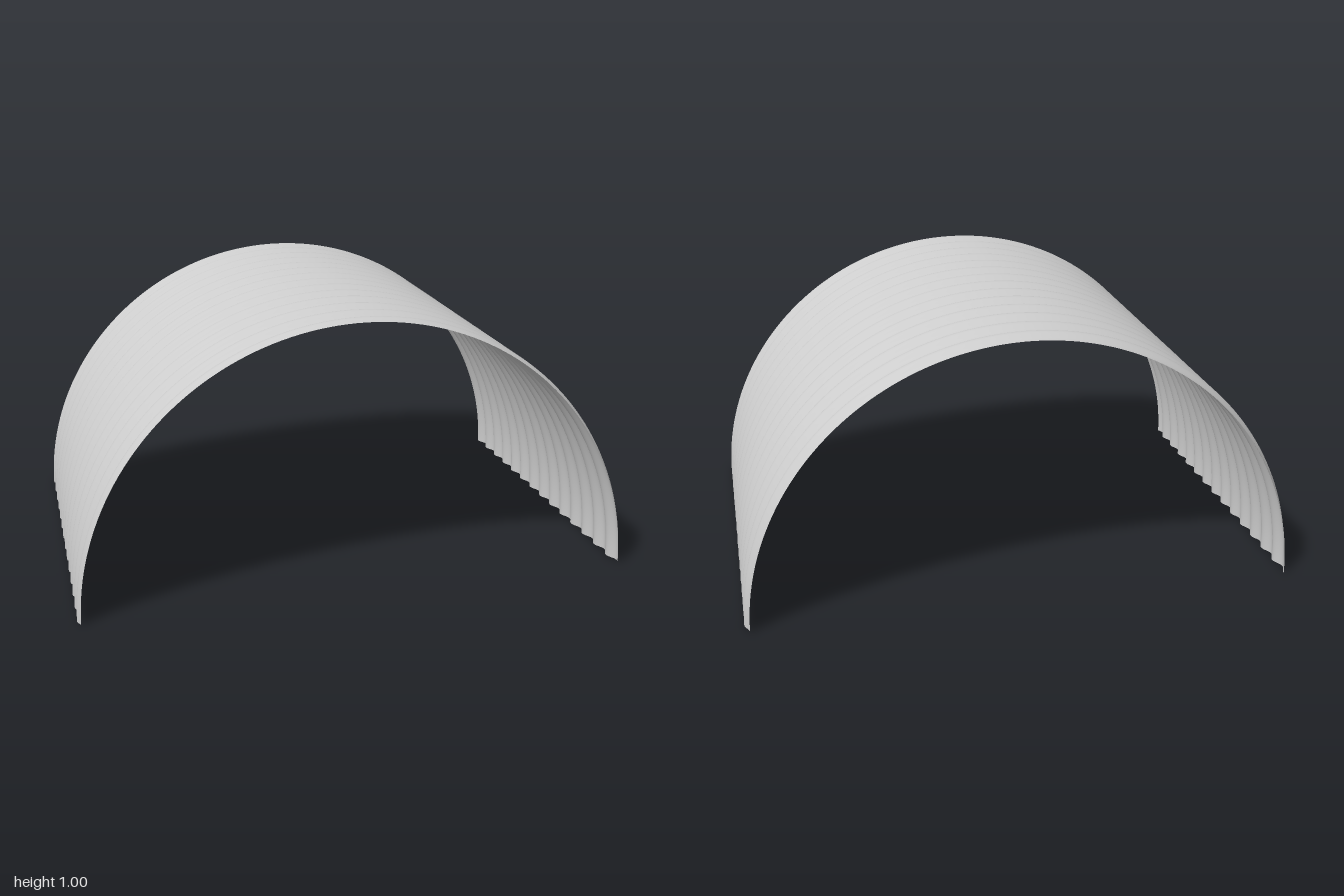
import * as THREE from 'three';

// Half-round arch of thin corrugated sheet, ridges running around the arch
export function createModel() {
  const group = new THREE.Group();
  group.name = 'corrugatedArch';

  const halfLength = 0.708, meanRadius = 0.991, waveHeight = 0.009;
  const pitch = 0.1025, crest = 0.062; // ridge spacing and position of one ridge
  const steps = 168;

  // Wavy profile along the length
  const profile = [];
  for (let i = 0; i <= steps; i++) {
    const z = -halfLength + (2 * halfLength * i) / steps;
    const r = meanRadius + waveHeight * Math.cos(((z - crest) / pitch) * Math.PI * 2);
    profile.push(new THREE.Vector2(r, z));
  }

  // Sweep half a turn, then lay the axis along z with the arch upward
  const geometry = new THREE.LatheGeometry(profile, 96, Math.PI / 2, Math.PI);
  geometry.rotateX(Math.PI / 2);

  const sheet = new THREE.Mesh(
    geometry,
    new THREE.MeshStandardMaterial({ color: 0xcccccc, side: THREE.DoubleSide })
  );
  sheet.name = 'corrugatedSheet';
  group.add(sheet);
  return group;
}
